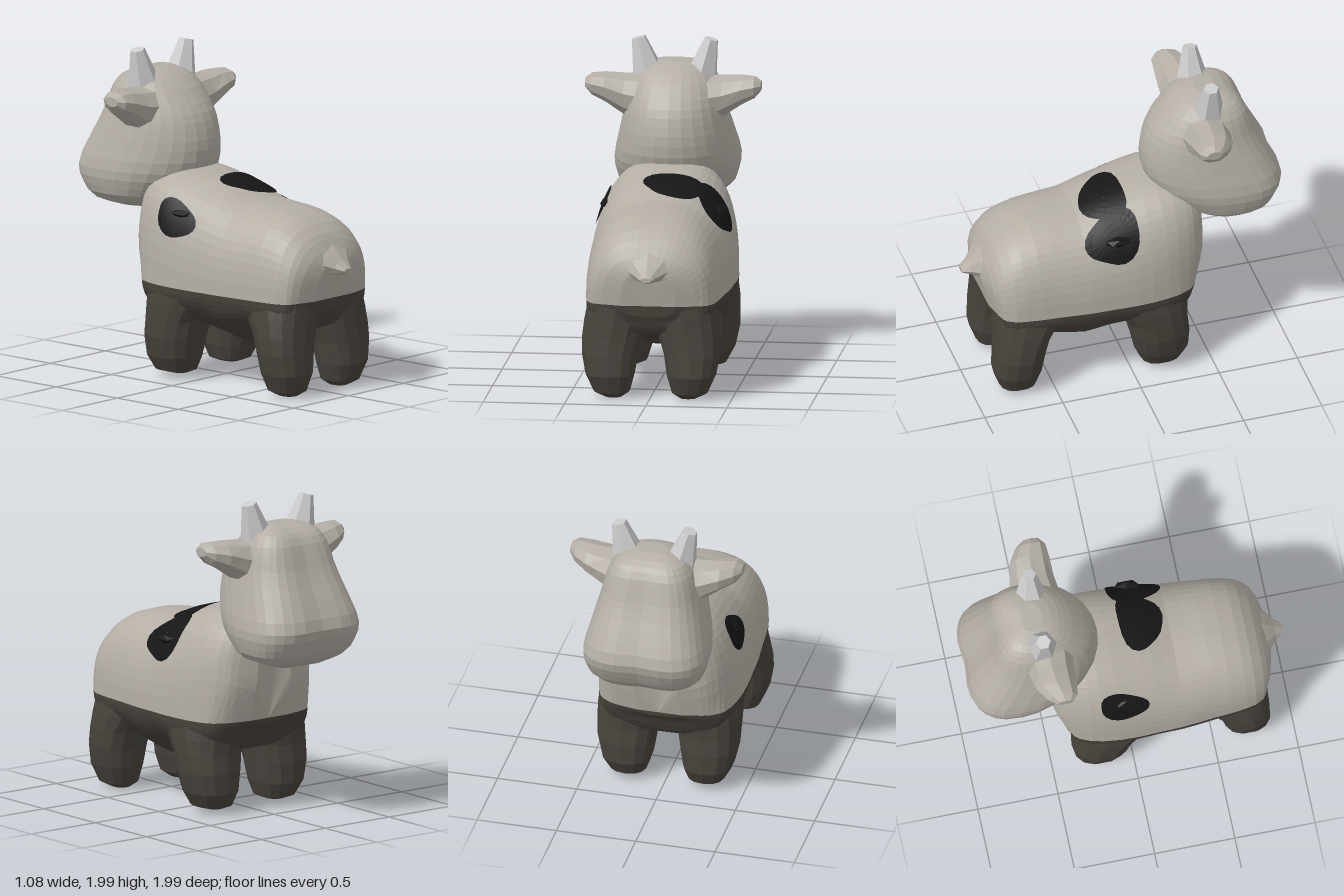
import * as THREE from 'three';

const { smoothstep } = THREE.MathUtils;
const paint = (color) => new THREE.MeshStandardMaterial({ color, flatShading: true });
const V = (x, y, z) => new THREE.Vector3(x, y, z);
const TAU = Math.PI * 2;
const spow = (v, p) => Math.sign(v) * Math.abs(v) ** p;

// Smooth interpolation of rows [position, ...values]
function profile(rows) {
  const n = rows[0].length - 1;
  const curve = new THREE.CubicInterpolant(rows.map((r) => r[0]), rows.flatMap((r) => r.slice(1)), n, new Array(n));
  return (t) => Array.from(curve.evaluate(t));
}

// All row positions, each gap divided into `div` steps
function steps(rows, div) {
  const out = [];
  rows.forEach((r, i) => {
    if (i === rows.length - 1) return out.push(r[0]);
    for (let k = 0; k < div; k++) out.push(r[0] + (rows[i + 1][0] - r[0]) * k / div);
  });
  return out;
}

// Skin over a row of point rings, with fan caps on request
function loft(rings, cap = true) {
  const n = rings[0].length, pos = [], idx = [];
  rings.flat().forEach((p) => pos.push(p.x, p.y, p.z));
  for (let j = 0; j < rings.length - 1; j++) {
    for (let i = 0; i < n - 1; i++) {
      const a = j * n + i, b = a + n;
      idx.push(a, a + 1, b, a + 1, b + 1, b);
    }
  }
  if (cap) {
    [0, rings.length - 1].forEach((j) => {
      const c = V(0, 0, 0), id = pos.length / 3;
      rings[j].slice(0, -1).forEach((p) => c.addScaledVector(p, 1 / (n - 1)));
      pos.push(c.x, c.y, c.z);
      for (let i = 0; i < n - 1; i++) {
        const a = j * n + i;
        if (j === 0) idx.push(id, a + 1, a);
        else idx.push(id, a, a + 1);
      }
    });
  }
  const g = new THREE.BufferGeometry();
  g.setAttribute('position', new THREE.Float32BufferAttribute(pos, 3));
  g.setIndex(idx);
  g.computeVertexNormals();
  return g;
}

const ring = (n, fn, from = 0, to = TAU) =>
  Array.from({ length: n + 1 }, (_, i) => fn(from + (to - from) * i / n));

// Body stations along z: half width, top, bottom, roundness above and below the colour line
const LINE = 0.6;
const BODY = [
  [-0.50, 0.14, 1.12, 0.57, 0.70, 0.8], [-0.47, 0.27, 1.20, 0.53, 0.66, 0.8], [-0.43, 0.335, 1.25, 0.47, 0.64, 0.8],
  [-0.35, 0.39, 1.27, 0.40, 0.64, 0.8], [-0.20, 0.435, 1.275, 0.38, 0.70, 0.8], [0.00, 0.45, 1.24, 0.33, 0.80, 0.95],
  [0.15, 0.445, 1.20, 0.285, 0.82, 1.1], [0.30, 0.44, 1.145, 0.25, 0.82, 1.1], [0.50, 0.42, 1.13, 0.32, 0.80, 1.0],
  [0.70, 0.40, 1.085, 0.38, 0.78, 0.8], [0.82, 0.36, 1.0, 0.42, 0.78, 0.8], [0.88, 0.29, 0.91, 0.46, 0.78, 0.8],
  [0.915, 0.17, 0.83, 0.53, 0.80, 0.8],
];
const bodyAt = profile(BODY);
function bodyPoint(a, z, off = 0) {
  const [w, top, bottom, pUp, pLow] = bodyAt(z);
  const c = Math.cos(a), s = Math.sin(a), up = s >= 0;
  const h = up ? top - LINE + off : LINE - bottom;
  const p = up ? pUp : pLow;
  const y = LINE + h * spow(s, p);
  // Chest and rump draw in towards the legs
  const tuck = 0.065 * (1 - smoothstep(z, -0.5, -0.3)) - 0.05 * smoothstep(z, 0.78, 0.915);
  return V((w + off) * spow(c, p), y, z + tuck * (1 - smoothstep(y, 0.5, 0.88)));
}

// Half of the body, closed at chest and rump
function shell(from, to) {
  const zs = steps(BODY, 2);
  const closing = (z) => ring(26, () => bodyPoint(0, z).setX(0));
  return loft([closing(zs[0]), ...zs.map((z) => ring(26, (a) => bodyPoint(a, z), from, to)), closing(zs.at(-1))], false);
}

// Irregular spot that follows the body surface
function spot(a0, z0, ra, rz) {
  const rings = [0.01, 0.25, 0.5, 0.75, 1].map((r) => ring(24, (f) => {
    const k = r * (1 + 0.1 * Math.sin(3 * f));
    return bodyPoint(a0 + ra * k * Math.cos(f), z0 - rz * k * Math.sin(f), 0.01);
  }));
  return loft(rings, false);
}

// Head stations along y: half width, face z, nape z, z of the widest point
const HEAD = [
  [0.99, 0.17, -0.82, -0.52, -0.68], [1.04, 0.31, -0.90, -0.40, -0.68], [1.13, 0.37, -0.965, -0.28, -0.70],
  [1.24, 0.385, -1.005, -0.185, -0.70], [1.38, 0.355, -0.955, -0.155, -0.64], [1.50, 0.325, -0.895, -0.17, -0.58],
  [1.60, 0.30, -0.85, -0.205, -0.55], [1.70, 0.275, -0.815, -0.28, -0.55], [1.78, 0.235, -0.775, -0.36, -0.56],
  [1.83, 0.17, -0.71, -0.44, -0.57], [1.85, 0.09, -0.65, -0.50, -0.57],
];
function head() {
  const at = profile(HEAD);
  return loft(steps(HEAD, 2).map((y) => {
    const [w, face, nape, mid] = at(y);
    return ring(28, (a) => {
      const c = Math.cos(a), front = c < 0, p = front ? 0.66 : 0.95;
      const x = w * spow(Math.sin(a), p);
      const dent = front ? 0.025 * Math.exp(-((x / 0.12) ** 2)) * -c : 0;
      return V(x, y, mid + (front ? mid - face : nape - mid) * spow(c, p) + dent);
    });
  }));
}

// Leg from rows [y, inner x, outer x, front z, back z]
const leg = (rows) => loft(rows.map(([y, x0, x1, z0, z1]) => ring(14, (a) =>
  V((x0 + x1) / 2 + (x1 - x0) / 2 * spow(Math.sin(a), 0.8), y, (z0 + z1) / 2 + (z1 - z0) / 2 * spow(Math.cos(a), 0.8)))));
const FRONT_LEG = [
  [0.03, 0.18, 0.29, -0.27, -0.12], [0.05, 0.13, 0.36, -0.32, -0.07], [0.14, 0.10, 0.41, -0.365, -0.03],
  [0.27, 0.08, 0.44, -0.37, 0.0], [0.38, 0.06, 0.445, -0.36, 0.03], [0.48, 0.03, 0.445, -0.365, 0.10],
  [0.595, 0.02, 0.435, -0.38, 0.22],
];
const BACK_LEG = [
  [0.005, 0.18, 0.28, 0.65, 0.77], [0.04, 0.13, 0.35, 0.60, 0.83], [0.15, 0.10, 0.40, 0.57, 0.87],
  [0.28, 0.08, 0.425, 0.55, 0.865], [0.38, 0.05, 0.425, 0.52, 0.86], [0.48, 0.02, 0.415, 0.45, 0.86],
  [0.595, 0.01, 0.395, 0.36, 0.86],
];

// Ear rows along x: centre y, half height, centre z, half depth
const EAR = [
  [0.18, 1.62, 0.15, -0.50, 0.16], [0.30, 1.64, 0.13, -0.50, 0.14], [0.42, 1.685, 0.092, -0.49, 0.125],
  [0.50, 1.705, 0.068, -0.47, 0.095], [0.54, 1.715, 0.03, -0.46, 0.05],
];
const ear = () => loft(EAR.map(([x, y, ry, z, rz]) => ring(9, (a) => V(x, y + ry * Math.cos(a), z + rz * Math.sin(a)))));

// Tail rows along z: half width, bottom, top
const TAIL = [[0.82, 0.20, 0.74, 0.98], [0.90, 0.13, 0.745, 0.90], [0.95, 0.07, 0.755, 0.845], [1.0, 0.035, 0.77, 0.80]];
const tail = () => loft(TAIL.map(([z, w, y0, y1]) => ring(8, (a) =>
  V(w * Math.cos(a), (y0 + y1) / 2 + (y1 - y0) / 2 * Math.sin(a), z))));

export function createModel() {
  const model = new THREE.Group();
  const coat = paint(0xb4aea5), dark = paint(0x48433c), black = paint(0x161616), hornGrey = paint(0xcccccc);
  const add = (parent, name, geometry, material) => {
    const m = new THREE.Mesh(geometry, material);
    m.name = name;
    parent.add(m);
    return m;
  };

  // Body in two colours, split along the flank
  add(model, 'upperBody', shell(0, Math.PI), coat);
  add(model, 'belly', shell(Math.PI, TAU), dark);

  // Black spots on the back and shoulders
  add(model, 'backSpot', spot(1.4, 0.12, 0.36, 0.14), black);
  add(model, 'leftShoulderSpot', spot(0.82, 0.12, 0.36, 0.17), black);
  add(model, 'rightShoulderSpot', spot(Math.PI - 0.6, -0.07, 0.22, 0.15), black);

  add(model, 'head', head(), coat);
  add(model, 'tail', tail(), coat);

  // Mirrored pairs
  ['left', 'right'].forEach((name, i) => {
    const side = new THREE.Group();
    side.name = `${name}Side`;
    side.scale.x = i ? -1 : 1;
    add(side, 'frontLeg', leg(FRONT_LEG), dark);
    add(side, 'backLeg', leg(BACK_LEG), dark);
    add(side, 'ear', ear(), coat);
    const horn = add(side, 'horn', new THREE.CylinderGeometry(0.046, 0.11, 0.26, 6), hornGrey);
    horn.position.set(0.19, 1.86, -0.535);
    horn.rotation.z = -0.26;
    // Ragged tuft on the shoulder
    const tuft = add(side, 'shoulderTuft', new THREE.IcosahedronGeometry(1, 0), black);
    tuft.scale.set(0.045, 0.03, 0.09);
    tuft.position.set(0.36, 1.05, i ? -0.05 : 0.1);
    model.add(side);
  });
  return model;
}
